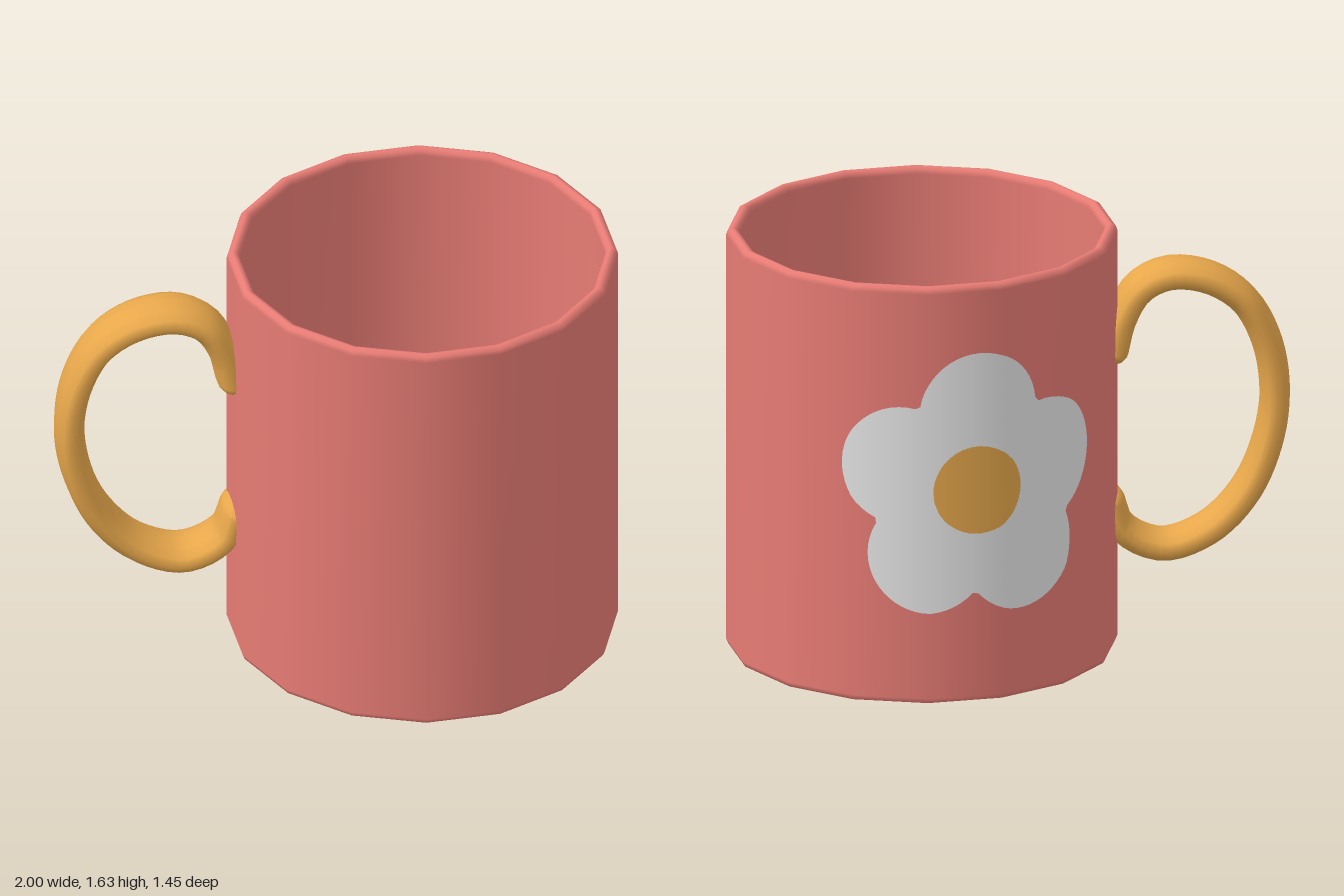
import * as THREE from 'three';
import { mergeGeometries } from 'three/addons/utils/BufferGeometryUtils.js';

const SIDES = 16, RADIUS = 0.726, TURN = -0.055;

const material = (name, color) => {
  const m = new THREE.MeshStandardMaterial({ color });
  m.name = name;
  return m;
};

const part = (name, geometry, mat) => {
  const mesh = new THREE.Mesh(geometry, mat);
  mesh.name = name;
  return mesh;
};

// Mug body: outer wall, rounded rim, inner wall and floor in one profile
function bodyGeometry() {
  const profile = [
    [0, 0], [0.7, 0], [0.718, 0.006], [RADIUS, 0.025],
    [RADIUS, 1.605], [0.72, 1.622], [0.706, 1.63], [0.696, 1.63],
    [0.683, 1.622], [0.678, 1.605], [0.678, 0.06], [0.66, 0.05], [0, 0.05],
  ].map(([x, y]) => new THREE.Vector2(x, y));
  return new THREE.LatheGeometry(profile, SIDES).rotateY(TURN);
}

// Handle: flattened tube with round ends, pressed against the mug wall
function handleGeometry() {
  const path = [
    [0.7, 0.535], [0.735, 0.44], [0.82, 0.375], [0.92, 0.355], [1.08, 0.42],
    [1.21, 0.56], [1.29, 0.75], [1.316, 0.94], [1.285, 1.14], [1.2, 1.3],
    [1.07, 1.39], [0.92, 1.412], [0.81, 1.36], [0.745, 1.25], [0.715, 1.13],
  ].map(([x, y]) => new THREE.Vector3(x, y, 0));
  const r = 0.057;
  const pieces = [new THREE.TubeGeometry(new THREE.CatmullRomCurve3(path), 56, r, 12)];
  for (const end of [path[0], path[path.length - 1]]) {
    pieces.push(new THREE.SphereGeometry(r, 12, 8).translate(end.x, end.y, 0));
  }
  const geometry = mergeGeometries(pieces).scale(1, 1, 2.05);
  const pos = geometry.attributes.position;
  for (let i = 0; i < pos.count; i++) pos.setX(i, Math.max(pos.getX(i), 0.69));
  return geometry;
}

// Painted ring between two outlines, wrapped onto the faceted wall
function decalGeometry(inner, outer) {
  const facing = Math.PI + THREE.MathUtils.degToRad(34.5);
  const centreY = 0.83, step = (2 * Math.PI) / SIDES;
  const geometry = new THREE.PlaneGeometry(1, 1, 120, 16);
  const { position, normal, uv } = geometry.attributes;
  for (let i = 0; i < position.count; i++) {
    const a = -2 * Math.PI * uv.getX(i);
    const rho = THREE.MathUtils.lerp(inner(a), outer(a), uv.getY(i));
    const phi = facing + (rho * Math.sin(a)) / 0.72;
    const d = THREE.MathUtils.euclideanModulo(phi - TURN, step) - step / 2;
    const r = (RADIUS * Math.cos(step / 2)) / Math.cos(d) + 0.005;
    // The angle runs clockwise from the top petal, so it is mirrored here
    position.setXYZ(i, r * Math.sin(phi), centreY + rho * Math.cos(a), r * Math.cos(phi));
    normal.setXYZ(i, Math.sin(phi), 0, Math.cos(phi));
  }
  // Reverse the corners so that the faces look outwards
  const index = geometry.index.array;
  for (let i = 0; i < index.length; i += 3) {
    [index[i], index[i + 1]] = [index[i + 1], index[i]];
  }
  return geometry;
}

// Outline of five overlapping round petals
function petals(a) {
  const c = 0.305, p = 0.23, step = (2 * Math.PI) / 5;
  const d = THREE.MathUtils.euclideanModulo(a + step / 2 - 0.03, step) - step / 2;
  return c * Math.cos(d) + Math.sqrt(p * p - (c * Math.sin(d)) ** 2);
}

export function createModel() {
  const coral = material('coral', 0xe77b74);
  const amber = material('amber', 0xe7a74b);
  const white = material('white', 0xe7e7e7);

  const model = new THREE.Group();
  model.name = 'mug';
  model.position.x = 0.274;

  const handle = part('handle', handleGeometry(), amber);
  handle.rotation.y = Math.PI + 0.419;

  model.add(
    part('body', bodyGeometry(), coral),
    handle,
    part('flowerPetals', decalGeometry(() => 0.17, petals), white),
    part('flowerCentre', decalGeometry(() => 0, () => 0.171), amber),
  );

  const root = new THREE.Group();
  root.name = 'flowerMug';
  root.add(model);
  return root;
}
